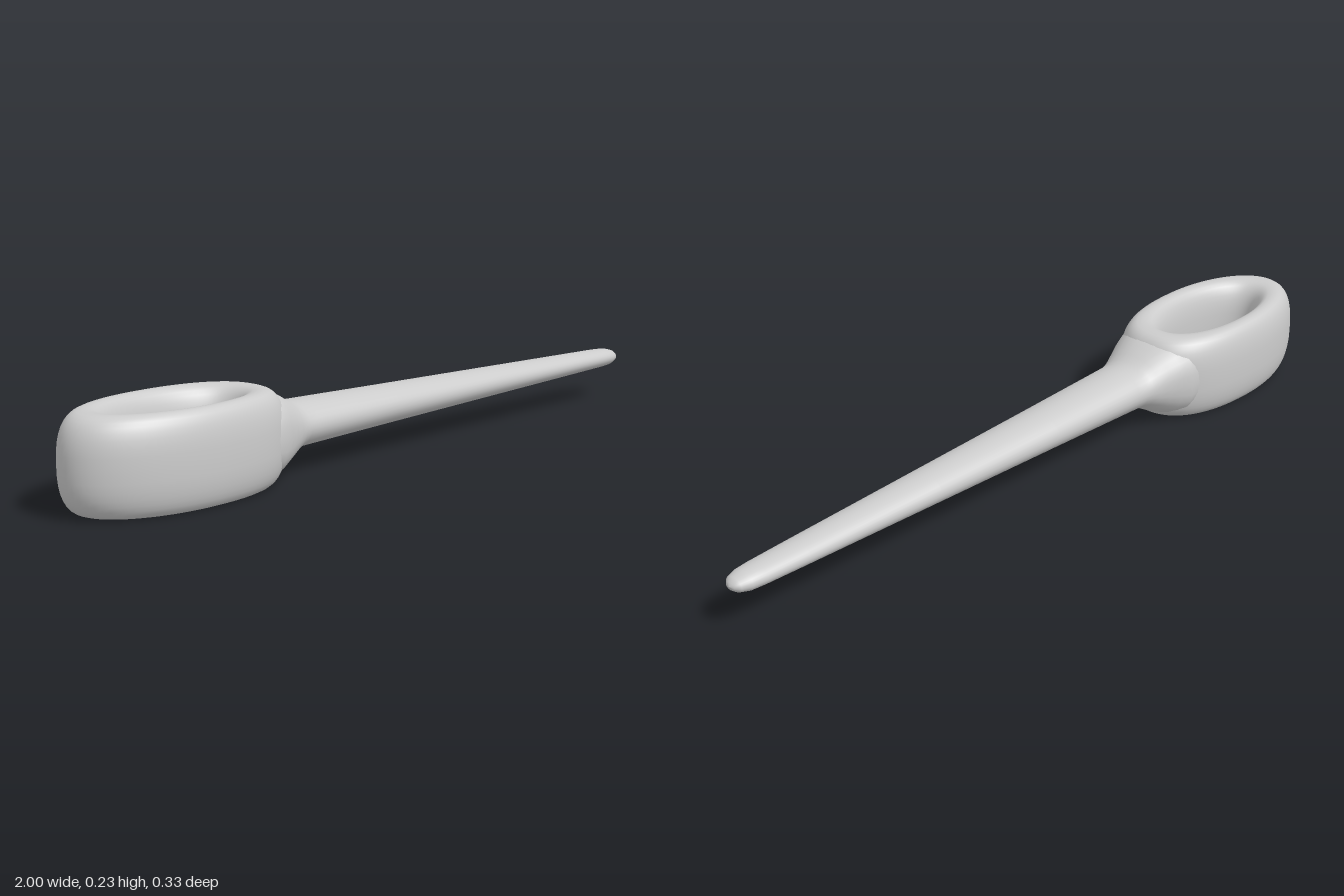
import * as THREE from 'three';

const CY = 0.116;
const power = (v, e) => Math.sign(v) * Math.abs(v) ** e;

// Smooth surface over a grid; columns always wrap, rows wrap when closed
function gridSurface(rows, cols, closed, point) {
  const pos = [], index = [];
  for (let i = 0; i < rows; i++)
    for (let j = 0; j < cols; j++) pos.push(...point(i, (j / cols) * Math.PI * 2));
  for (let i = 0; i < (closed ? rows : rows - 1); i++)
    for (let j = 0; j < cols; j++) {
      const n = (i + 1) % rows, k = (j + 1) % cols;
      const a = i * cols + j, b = i * cols + k, c = n * cols + j, d = n * cols + k;
      index.push(a, b, c, b, d, c);
    }
  const geo = new THREE.BufferGeometry();
  geo.setAttribute('position', new THREE.Float32BufferAttribute(pos, 3));
  geo.setIndex(index);
  geo.computeVertexNormals();
  return geo;
}

export function createModel() {
  const group = new THREE.Group();
  const material = new THREE.MeshStandardMaterial({ color: 0xcccccc });
  const add = (name, geo) => {
    const mesh = new THREE.Mesh(geo, material);
    mesh.name = name;
    group.add(mesh);
  };

  // Oval finger loop: a rounded section swept between the hole and the outer outline
  const N = 72;
  add('loop', gridSurface(N, 36, true, (i, v) => {
    const u = (i / N) * Math.PI * 2, c = Math.cos(u), s = Math.sin(u);
    const right = c > 0, e = right ? 2 / 2.5 : 1;
    const outX = -0.69 + (right ? 0.295 : 0.31) * power(c, e);
    const outZ = 0.165 * power(s, e);
    const inX = -0.69 + 0.17 * c, inZ = 0.08 * s;
    const t = 0.5 + 0.5 * power(Math.cos(v), 2 / 2.5);
    return [
      inX + (outX - inX) * t,
      CY + 0.115 * power(Math.sin(v), 2 / 2.5),
      inZ + (outZ - inZ) * t,
    ];
  }));

  // Flared neck running into the tapered shaft: [x, half height, half depth]
  const profile = [
    [-0.485, 0.106, 0.134], [-0.46, 0.11, 0.133], [-0.43, 0.103, 0.122],
    [-0.4, 0.09, 0.109], [-0.37, 0.074, 0.097], [-0.35, 0.064, 0.09],
    [-0.33, 0.058, 0.086], [-0.3, 0.057, 0.084], [0, 0.049, 0.073],
    [0.4, 0.039, 0.059], [0.8, 0.029, 0.045], [0.92, 0.026, 0.04],
    [0.96, 0.024, 0.036], [0.985, 0.018, 0.027], [0.996, 0.01, 0.015], [1, 0, 0],
  ];
  add('shaft', gridSurface(profile.length, 32, false, (i, v) => {
    const [x, h, d] = profile[i];
    // squarer section near the loop, oval along the shaft
    const e = 2 / (2 + 0.5 * THREE.MathUtils.clamp((-0.34 - x) / 0.12, 0, 1));
    return [x, CY + h * power(Math.cos(v), e), d * power(Math.sin(v), e)];
  }));

  return group;
}
